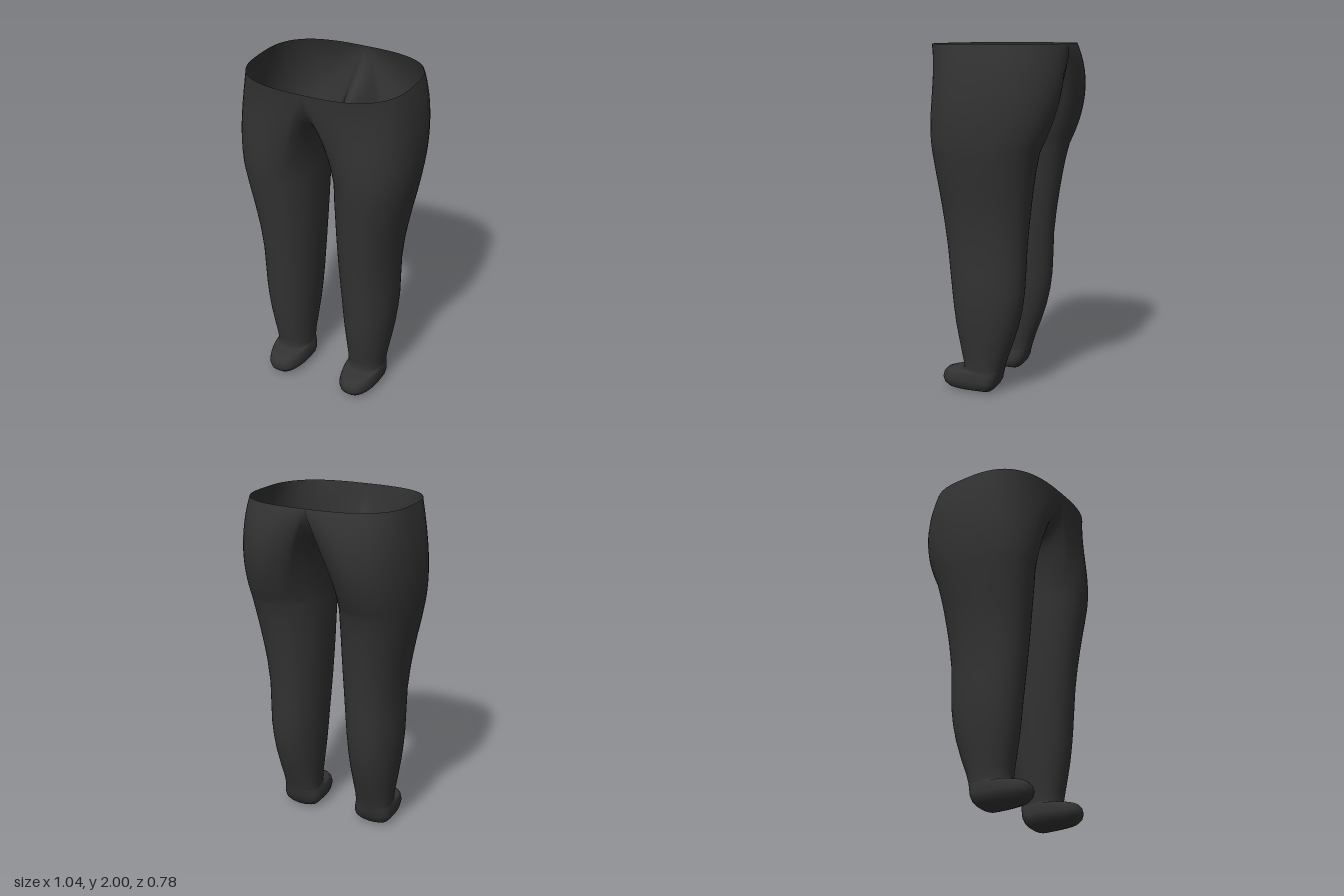
import * as THREE from 'three';
import { mergeVertices } from 'three/addons/utils/BufferGeometryUtils.js';

const COLS = 48, SEAM0 = 16, SEAM1 = 32; // columns around a leg; the inner third ends on the centre seam
const HIP_ROWS = 16, HIP_Y = 1.4, CZ = 0.04;

// Leg sections from sole to upper thigh: [y, inner x, outer x, back z, front z, roundness power]
const SECTIONS = [
  [0.0, 0.245, 0.245, CZ, CZ, 1],
  [0.0, 0.19, 0.3, 0.01, 0.25, 0.85],
  [0.012, 0.155, 0.335, -0.005, 0.28, 0.8],
  [0.035, 0.133, 0.357, -0.025, 0.303, 0.78],
  [0.065, 0.126, 0.364, -0.04, 0.312, 0.78],
  [0.095, 0.13, 0.362, -0.048, 0.304, 0.8],
  [0.115, 0.134, 0.36, -0.053, 0.285, 0.8],
  [0.125, 0.137, 0.358, -0.056, 0.25, 0.8],
  [0.126, 0.138, 0.358, -0.057, 0.19, 0.82],
  [0.14, 0.138, 0.358, -0.06, 0.172, 0.85],
  [0.2, 0.135, 0.365, -0.08, 0.185, 0.9],
  [0.3, 0.125, 0.382, -0.118, 0.203, 0.92],
  [0.4, 0.115, 0.397, -0.15, 0.22, 0.92],
  [0.5, 0.107, 0.408, -0.172, 0.232, 0.92],
  [0.6, 0.1, 0.415, -0.185, 0.242, 0.92],
  [0.72, 0.092, 0.416, -0.191, 0.255, 0.92],
  [0.86, 0.083, 0.418, -0.196, 0.27, 0.92],
  [1.0, 0.076, 0.432, -0.21, 0.287, 0.92],
  [1.1, 0.072, 0.448, -0.223, 0.3, 0.92],
  [1.2, 0.069, 0.467, -0.237, 0.313, 0.92],
  [1.3, 0.066, 0.488, -0.254, 0.327, 0.92],
  [HIP_Y, 0.065, 0.506, -0.277, 0.34, 0.92],
];

// Crotch seam in the middle plane, front waist to back waist
const seam = new THREE.CatmullRomCurve3([
  [2, 0.39], [1.88, 0.362], [1.78, 0.285], [1.71, 0.15], [1.69, 0.03],
  [1.715, -0.1], [1.79, -0.225], [1.89, -0.315], [2, -0.36],
].map(([y, z]) => new THREE.Vector3(0, y, z)));

const spow = (v, p) => Math.sign(v) * Math.abs(v) ** p;

function sectionPoint([y, xi, xo, zb, zf, p], j) {
  const t = (j / COLS) * Math.PI * 2;
  const c = spow(Math.cos(t), p), s = spow(Math.sin(t), p);
  const z = CZ + s * (s > 0 ? zf - CZ : CZ - zb);
  return new THREE.Vector3((xi + xo) / 2 + (c * (xo - xi)) / 2, y, z);
}

// Where a column ends: on the waist rim, or on the crotch seam
function endPoint(j) {
  if (j >= SEAM0 && j <= SEAM1) return seam.getPointAt((j - SEAM0) / (SEAM1 - SEAM0));
  const back = j > SEAM1;
  const a = ((back ? COLS - j : j) / SEAM0) * Math.PI / 2;
  const z = Math.sin(a) ** 0.7;
  return new THREE.Vector3(0.47 * Math.cos(a) ** 0.7, 2, back ? -0.36 * z : 0.39 * z);
}

// Smooth path from the upper thigh to the end point
function hipColumn(j) {
  const top = SECTIONS[SECTIONS.length - 1];
  const a = sectionPoint(top, j), e = endPoint(j), h = e.y - HIP_Y;
  const t = (j / COLS) * Math.PI * 2, c = Math.cos(t), s = Math.sin(t);
  const start = new THREE.Vector3(0.15 * Math.max(c, 0), 1, s > 0 ? 0.15 * s : 0.5 * s).multiplyScalar(h);
  const rimEnd = new THREE.Vector3(-0.25 * Math.max(c, 0), 1, s > 0 ? 0.15 * s : -0.45 * s).multiplyScalar(h);
  const seamEnd = new THREE.Vector3(-Math.min(2 * a.x, 0.4), 0, 0);
  const inside = Math.min(j - SEAM0, SEAM1 - j); // columns past the waist corner
  const end = rimEnd.lerp(seamEnd, THREE.MathUtils.smoothstep(inside, -4, 4));
  return (u) => {
    const u2 = u * u, u3 = u2 * u;
    return new THREE.Vector3()
      .addScaledVector(a, 2 * u3 - 3 * u2 + 1)
      .addScaledVector(start, u3 - 2 * u2 + u)
      .addScaledVector(e, 3 * u2 - 2 * u3)
      .addScaledVector(end, u3 - u2);
  };
}

export function createModel() {
  // Rows of one half: foot, leg, then hip
  const rows = SECTIONS.map((sec) => Array.from({ length: COLS }, (_, j) => sectionPoint(sec, j)));
  const columns = Array.from({ length: COLS }, (_, j) => hipColumn(j));
  for (let i = 1; i <= HIP_ROWS; i++) rows.push(columns.map((f) => f(i / HIP_ROWS)));

  // Both halves, mirrored and joined along the seam
  const position = [], index = [];
  for (const side of [1, -1]) {
    const base = position.length / 3;
    for (const row of rows) for (const p of row) position.push(side * p.x, p.y, p.z);
    for (let i = 0; i < rows.length - 1; i++) {
      for (let j = 0; j < COLS; j++) {
        const k = (j + 1) % COLS;
        const a = base + i * COLS + j, b = base + i * COLS + k, c = a + COLS, d = b + COLS;
        if (side > 0) index.push(a, c, b, b, c, d);
        else index.push(a, b, c, b, d, c);
      }
    }
  }
  let geometry = new THREE.BufferGeometry();
  geometry.setAttribute('position', new THREE.Float32BufferAttribute(position, 3));
  geometry.setIndex(index);
  geometry = mergeVertices(geometry, 1e-4);
  geometry.computeVertexNormals();

  const trousers = new THREE.Mesh(
    geometry,
    new THREE.MeshStandardMaterial({ color: 0x333333, side: THREE.DoubleSide }),
  );
  trousers.name = 'footedTrousers';
  const group = new THREE.Group();
  group.name = 'legs';
  group.add(trousers);
  return group;
}
